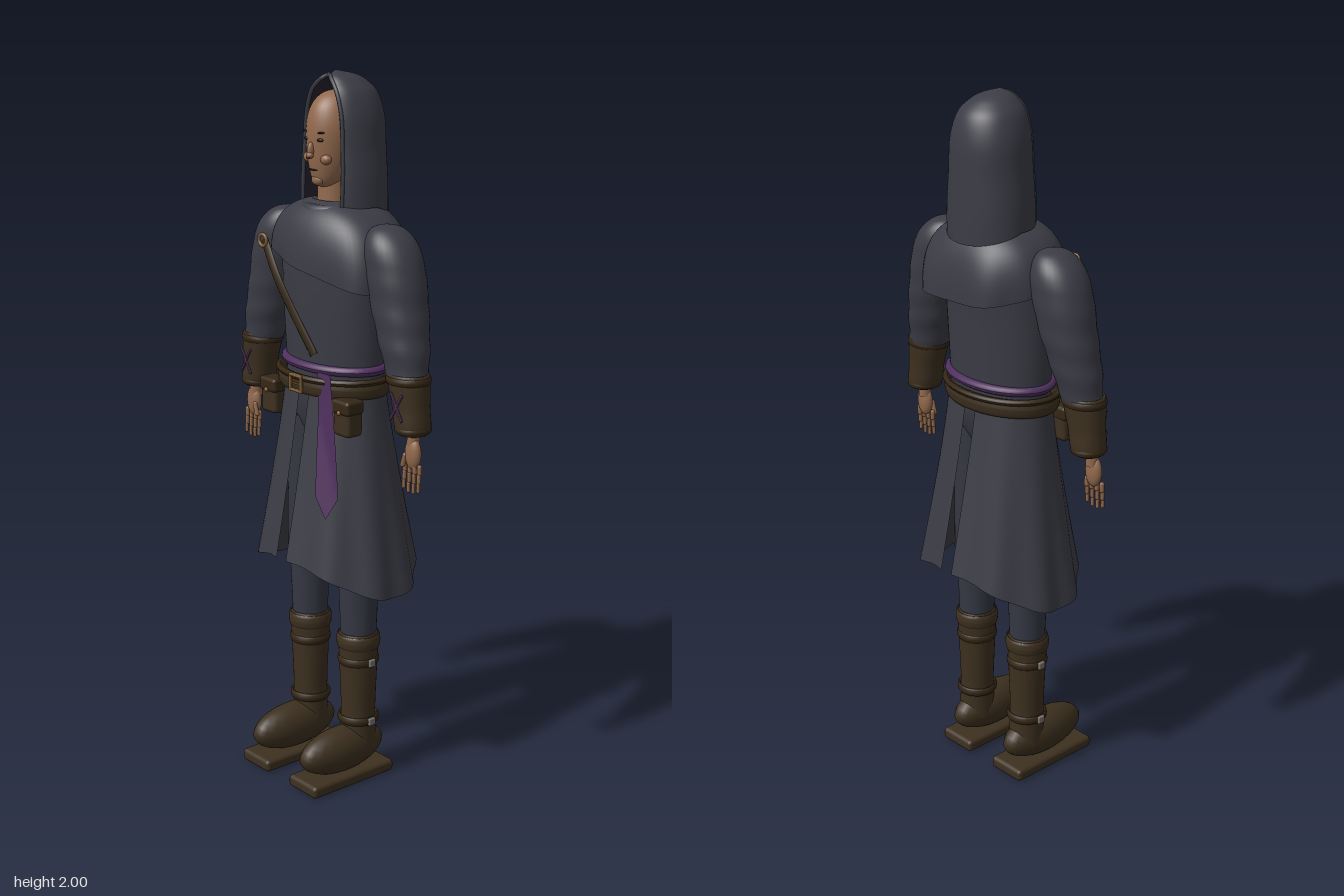
import * as THREE from 'three';
import { RoundedBoxGeometry } from 'three/addons/geometries/RoundedBoxGeometry.js';

const paint = (name, color, side = THREE.FrontSide) => {
  const m = new THREE.MeshStandardMaterial({ color, side });
  m.name = name;
  return m;
};
const TAU = Math.PI * 2;
const lerp = THREE.MathUtils.lerp;

// Surface from a rule f(u, v) -> [x, y, z]; closed joins the u ends smoothly
function surface(nu, nv, f, closed = false) {
  const pos = [], idx = [], cols = closed ? nu : nu + 1;
  for (let i = 0; i <= nv; i++)
    for (let j = 0; j < cols; j++) pos.push(...f(j / nu, i / nv));
  for (let i = 0; i < nv; i++)
    for (let j = 0; j < nu; j++) {
      const a = i * cols + j, b = i * cols + (j + 1) % cols;
      idx.push(a, b, b + cols, a, b + cols, a + cols);
    }
  const g = new THREE.BufferGeometry();
  g.setAttribute('position', new THREE.Float32BufferAttribute(pos, 3));
  g.setIndex(idx);
  g.computeVertexNormals();
  return g;
}

// Smooth interpolation through rows of numbers
function sample(rows, v) {
  const n = rows.length - 1, i = Math.min(n - 1, Math.floor(v * n)), t = v * n - i;
  const at = k => rows[Math.max(0, Math.min(n, k))];
  return rows[0].map((_, k) => {
    const [a, b, c, d] = [at(i - 1)[k], at(i)[k], at(i + 1)[k], at(i + 2)[k]];
    return 0.5 * (2 * b + (c - a) * t + (2 * a - 5 * b + 4 * c - d) * t * t + (3 * b - a - 3 * c + d) * t ** 3);
  });
}

// Oval rings [y, cx, cz, rx, rz] from bottom to top
function loft(rows, nu = 32, nv = rows.length * 4, bump = () => 1) {
  return surface(nu, nv, (u, v) => {
    const [y, cx, cz, rx, rz] = sample(rows, v), k = bump(u * TAU, v);
    return [cx + Math.max(0, rx) * k * Math.sin(u * TAU), y, cz + Math.max(0, rz) * k * Math.cos(u * TAU)];
  }, true);
}

// Rounded oval band around the body or a limb
function band(y, h, rx, rz, thick, cx = 0, cz = 0) {
  return surface(40, 10, (u, v) => {
    const a = u * TAU, b = v * TAU, r = -Math.cos(b) * thick;
    return [cx + (rx - r) * Math.sin(a), y - Math.sin(b) * h / 2 * -1, cz + (rz - r) * Math.cos(a)];
  }, true);
}

export function createModel() {
  const cloth = paint('charcoal cloth', 0x3b3c45, THREE.DoubleSide);
  const trouser = paint('slate trousers', 0x353743);
  const leather = paint('dark leather', 0x3d301f, THREE.DoubleSide);
  const strapMat = paint('strap leather', 0x352715);
  const purple = paint('purple sash', 0x50305e, THREE.DoubleSide);
  const lining = paint('hood lining', 0x27212f, THREE.DoubleSide);
  const skin = paint('skin', 0x92694d);
  const brass = paint('brass', 0x7d5c35);
  const steel = paint('steel', 0x77726c);
  const ink = paint('ink', 0x171416);

  const model = new THREE.Group();
  model.name = 'hoodedFigure';
  const add = (parent, name, geo, mat, x = 0, y = 0, z = 0) => {
    const m = new THREE.Mesh(geo, mat);
    m.name = name;
    m.position.set(x, y, z);
    parent.add(m);
    return m;
  };
  const ball = (parent, name, mat, x, y, z, rx, ry, rz) => {
    const m = add(parent, name, new THREE.SphereGeometry(1, 24, 16), mat, x, y, z);
    m.scale.set(rx, ry, rz);
    return m;
  };
  const box = (parent, name, mat, w, h, d, x, y, z, r = 0.005) =>
    add(parent, name, new RoundedBoxGeometry(w, h, d, 2, r), mat, x, y, z);

  // Torso and hips
  add(model, 'torso', loft([[0.98, 0, 0, 0, 0], [1.0, 0, 0, 0.1, 0.06], [1.1, 0, -0.005, 0.16, 0.1],
    [1.2, 0, -0.005, 0.168, 0.106], [1.4, 0, -0.005, 0.178, 0.115], [1.52, 0, -0.01, 0.178, 0.12],
    [1.6, 0, -0.015, 0.15, 0.1], [1.65, 0, -0.01, 0.06, 0.06]], 40), cloth);

  // Split skirt
  const skirtAt = t => {
    const k = Math.pow(t, 1.1);
    return [lerp(0.168, 0.255, k), lerp(0.107, 0.198, k), lerp(-0.005, -0.01, k)];
  };
  for (const s of [1, -1])
    add(model, s > 0 ? 'leftSkirtPanel' : 'rightSkirtPanel', surface(40, 16, (u, v) => {
      const t = 1 - v, [rx, rz, cz] = skirtAt(t), e = Math.asin(0.02 / rx);
      const a = lerp(e, Math.PI - e, s > 0 ? u : 1 - u);
      const hem = 0.58 + 0.09 * Math.cos(a) ** 2, f = 1 + 0.028 * t * Math.cos(10 * a);
      return [s * Math.max(0.018, rx * f * Math.sin(a)), lerp(1.18, hem, t), cz + rz * f * Math.cos(a)];
    }), cloth);

  // Belt, sash and hanging sash tail
  add(model, 'belt', band(1.165, 0.055, 0.178, 0.122, 0.01), leather);
  add(model, 'beltEdge', band(1.185, 0.018, 0.183, 0.13, 0.008), strapMat);
  add(model, 'sash', band(1.212, 0.026, 0.17, 0.111, 0.012, 0, -0.005), purple);
  add(model, 'sashTail', surface(6, 20, (u, v) => {
    const t = 1 - v, w = t > 0.86 ? 0.028 * (1 - t) / 0.14 : 0.028 + 0.004 * Math.sin(t * 3);
    const x = lerp(0.095, 0.132, t) + (u - 0.5) * 2 * w, y = lerp(1.21, 0.81, t);
    const [rx, rz, cz] = skirtAt(Math.max(0, (1.18 - y) / 0.56));
    return [x, y, Math.max(0.116, cz + rz * Math.sqrt(1 - (x / rx) ** 2) * 1.03 + 0.012)];
  }), purple);
  const buckle = new THREE.Group();
  buckle.name = 'buckle';
  buckle.position.set(0, 1.168, 0.136);
  model.add(buckle);
  for (const s of [1, -1]) {
    box(buckle, 'buckleSide', brass, 0.008, 0.05, 0.01, s * 0.023, 0, 0, 0.003);
    box(buckle, 'buckleBar', brass, 0.052, 0.008, 0.01, 0, s * 0.021, 0, 0.003);
  }
  box(buckle, 'bucklePin', brass, 0.03, 0.005, 0.008, 0.006, 0, 0.002, 0.002);

  // Shoulder cape with a slanting hem
  const sq = (x, p) => Math.sign(x) * Math.abs(x) ** p;
  add(model, 'shoulderCape', surface(64, 14, (u, v) => {
    const a = u * TAU, t = 1 - v, sn = Math.sin(a), cs = Math.cos(a);
    const hem = (cs > 0 ? lerp(1.465, 1.485, cs) : lerp(1.465, 1.455, -cs)) - 0.055 * sn * (0.6 + 0.4 * cs);
    const rx = sn > 0 ? 0.238 : 0.195, rz = cs > 0 ? 0.142 : 0.165;
    const k = Math.sin(t * Math.PI / 2) ** 0.85, f = 1 + 0.025 * t * t * Math.cos(7 * a);
    return [lerp(0.062, rx, k) * f * sq(sn, 0.85), lerp(1.66, hem, 0.35 * t + 0.65 * t ** 2.2),
      -0.01 + lerp(0.062, rz, k) * f * sq(cs, 0.8)];
  }, true), cloth);
  add(model, 'collarFold', band(1.635, 0.035, 0.095, 0.085, 0.014, 0, -0.01), cloth);

  // Chest strap with ring
  const strapPath = new THREE.CatmullRomCurve3([[-0.145, 1.54, 0.125], [-0.08, 1.45, 0.135],
    [-0.02, 1.35, 0.122], [0.045, 1.25, 0.107]].map(p => new THREE.Vector3(...p)));
  add(model, 'chestStrap', surface(10, 24, (u, v) => {
    const p = strapPath.getPoint(1 - v), a = u * TAU;
    return [p.x + 0.012 * Math.sin(a), p.y + 0.008 * Math.sin(a), p.z + 0.007 * Math.cos(a)];
  }, true), strapMat);
  add(model, 'strapRing', new THREE.TorusGeometry(0.016, 0.005, 10, 24), brass, -0.145, 1.54, 0.132);

  // Hood: rings [y, rx, cz, rz, half angle of the opening]
  const hoodRows = [[1.645, 0.124, -0.045, 0.103, 0.55], [1.72, 0.122, -0.045, 0.102, 0.58],
    [1.8, 0.114, -0.045, 0.1, 0.6], [1.88, 0.108, -0.045, 0.097, 0.58], [1.94, 0.089, -0.04, 0.086, 0.5],
    [1.97, 0.064, -0.032, 0.066, 0.34], [1.988, 0.038, -0.022, 0.042, 0.08], [2.0, 0, -0.005, 0, 0]];
  const hoodPoint = (u, v, k) => {
    const [y, rx, cz, rz, open] = sample(hoodRows, v), a = lerp(Math.max(0, open), TAU - Math.max(0, open), u);
    const cs = Math.cos(a), sn = Math.sin(a), drop = cs < 0 ? -0.035 * cs * (1 - v) ** 3 : 0;
    return [rx * k * (cs > 0 ? sq(sn, 0.6) : sn), y - drop - (1 - k) * 0.1 * v, cz + rz * k * cs];
  };
  add(model, 'hood', surface(56, 32, (u, v) => hoodPoint(u, v, 1)), cloth);
  add(model, 'hoodLining', surface(56, 32, (u, v) => hoodPoint(u, v, 0.94)), lining);
  const rim = [];
  for (let i = 0; i <= 14; i++) rim.push(new THREE.Vector3(...hoodPoint(0, i / 14 * 0.86, 0.98)));
  for (let i = 14; i >= 0; i--) rim.push(new THREE.Vector3(...hoodPoint(1, i / 14 * 0.86, 0.98)));
  add(model, 'hoodRim', new THREE.TubeGeometry(new THREE.CatmullRomCurve3(rim), 80, 0.006, 8), cloth);

  // Head and face
  const head = new THREE.Group();
  head.name = 'head';
  model.add(head);
  add(head, 'neck', new THREE.CylinderGeometry(0.043, 0.047, 0.14, 24), skin, 0, 1.68, 0);
  add(head, 'face', loft([[1.69, 0, 0.012, 0, 0], [1.7, 0, 0.012, 0.032, 0.045], [1.74, 0, 0.006, 0.054, 0.066],
    [1.8, 0, 0.002, 0.067, 0.076], [1.86, 0, 0, 0.07, 0.077], [1.91, 0, -0.003, 0.056, 0.066],
    [1.94, 0, -0.008, 0.032, 0.04], [1.95, 0, -0.01, 0, 0]]), skin);
  ball(head, 'nose', skin, 0, 1.795, 0.079, 0.009, 0.022, 0.011);
  ball(head, 'noseTip', skin, 0, 1.782, 0.083, 0.011, 0.009, 0.01);
  ball(head, 'mouth', ink, 0, 1.742, 0.071, 0.018, 0.0025, 0.004);
  ball(head, 'chin', skin, 0, 1.715, 0.056, 0.022, 0.016, 0.014);
  for (const s of [1, -1]) {
    ball(head, 'cheek', skin, s * 0.035, 1.772, 0.057, 0.018, 0.014, 0.014);
    ball(head, 'eye', ink, s * 0.027, 1.823, 0.07, 0.012, 0.005, 0.006);
    ball(head, 'brow', ink, s * 0.029, 1.842, 0.07, 0.016, 0.003, 0.005).rotation.z = s * 0.1;
    ball(head, 'nostril', ink, s * 0.005, 1.775, 0.089, 0.003, 0.002, 0.003);
  }

  for (const s of [1, -1]) {
    const limb = name => {
      const g = new THREE.Group();
      g.name = (s > 0 ? 'left' : 'right') + name;
      model.add(g);
      return g;
    };

    // Sleeve, bracer and hand
    const arm = limb('Arm');
    add(arm, 'sleeve', loft([[1.21, s * 0.312, 0.005, 0.057, 0.05], [1.3, s * 0.291, 0, 0.07, 0.064],
      [1.4, s * 0.264, -0.006, 0.08, 0.074], [1.5, s * 0.24, -0.008, 0.085, 0.078],
      [1.565, s * 0.224, -0.008, 0.072, 0.072], [1.605, s * 0.21, -0.008, 0.042, 0.045],
      [1.617, s * 0.205, -0.008, 0, 0]], 32, 48,
    (a, v) => 1 + 0.03 * Math.sin(v * 45 + s * Math.sin(a)) * Math.max(0, 1 - v * 1.6)), cloth);
    add(arm, 'bracer', loft([[1.08, s * 0.335, 0.006, 0, 0], [1.08, s * 0.335, 0.006, 0.044, 0.045],
      [1.15, s * 0.325, 0.006, 0.053, 0.049], [1.232, s * 0.312, 0.006, 0.063, 0.054],
      [1.234, s * 0.312, 0.006, 0.05, 0.045]]), leather);
    add(arm, 'bracerLowerRim', band(1.09, 0.018, 0.045, 0.046, 0.004, s * 0.334, 0.006), strapMat);
    add(arm, 'bracerUpperRim', band(1.222, 0.02, 0.062, 0.053, 0.004, s * 0.313, 0.006), strapMat);
    for (const k of [1, -1])
      box(arm, 'bracerLacing', purple, 0.007, 0.085, 0.006, s * 0.325, 1.155, 0.059, 0.002).rotation.z = k * 0.55;
    add(arm, 'wrist', new THREE.CylinderGeometry(0.017, 0.018, 0.05, 16), skin, s * 0.342, 1.067, 0.012);
    ball(arm, 'palm', skin, s * 0.345, 1.025, 0.015, 0.027, 0.045, 0.017);
    for (let i = 0; i < 4; i++) {
      const x = s * (0.317 + i * 0.019), len = i === 0 || i === 3 ? 0.024 : 0.027;
      for (let j = 0; j < 3; j++)
        add(arm, 'fingerJoint', new THREE.CapsuleGeometry(0.0068 - j * 0.0008, len * 0.75, 4, 8), skin,
          x, 0.985 - j * len, 0.018 + 0.002 * j);
    }
    const thumb = add(arm, 'thumb', new THREE.CapsuleGeometry(0.007, 0.03, 4, 10), skin, s * 0.322, 1.005, 0.027);
    thumb.rotation.z = s * -0.3;

    // Belt pouch
    const pouch = limb('Pouch');
    box(pouch, 'pouchBag', leather, 0.066, 0.09, 0.055, s * 0.158, 1.09, 0.083, 0.012);
    box(pouch, 'pouchFlap', strapMat, 0.072, 0.04, 0.062, s * 0.158, 1.127, 0.084, 0.01);
    ball(pouch, 'pouchButton', brass, s * 0.158, 1.113, 0.116, 0.007, 0.007, 0.005);

    // Trouser leg and boot
    const leg = limb('Leg'), x = s * 0.108;
    add(leg, 'trouserLeg', loft([[0.4, x, 0, 0.05, 0.05], [0.52, x, 0, 0.054, 0.054], [0.62, x, 0, 0.06, 0.058],
      [0.66, x, 0, 0.064, 0.062], [0.8, s * 0.1, 0, 0.068, 0.068], [1.05, s * 0.09, 0, 0.075, 0.075]]), trouser);
    add(leg, 'kneeFold', band(0.645, 0.02, 0.061, 0.059, 0.004, x), trouser);
    add(leg, 'bootShaft', loft([[0.09, x, 0, 0.05, 0.055], [0.2, x, 0, 0.048, 0.05], [0.32, x, 0, 0.053, 0.053],
      [0.435, x, 0, 0.057, 0.057], [0.437, x, 0, 0.045, 0.045]]), leather);
    add(leg, 'bootCuff', band(0.418, 0.042, 0.058, 0.057, 0.005, x), leather);
    for (const y of [0.18, 0.36]) {
      add(leg, 'bootStrap', band(y, 0.024, 0.054, 0.054, 0.005, x), strapMat);
      box(leg, 'bootBuckle', steel, 0.01, 0.022, 0.022, s * 0.168, y, 0, 0.003);
    }
    ball(leg, 'foot', leather, x, 0.095, 0.062, 0.056, 0.067, 0.147);
    box(leg, 'sole', leather, 0.122, 0.036, 0.296, x, 0.018, 0.062, 0.012);
  }
  return model;
}
